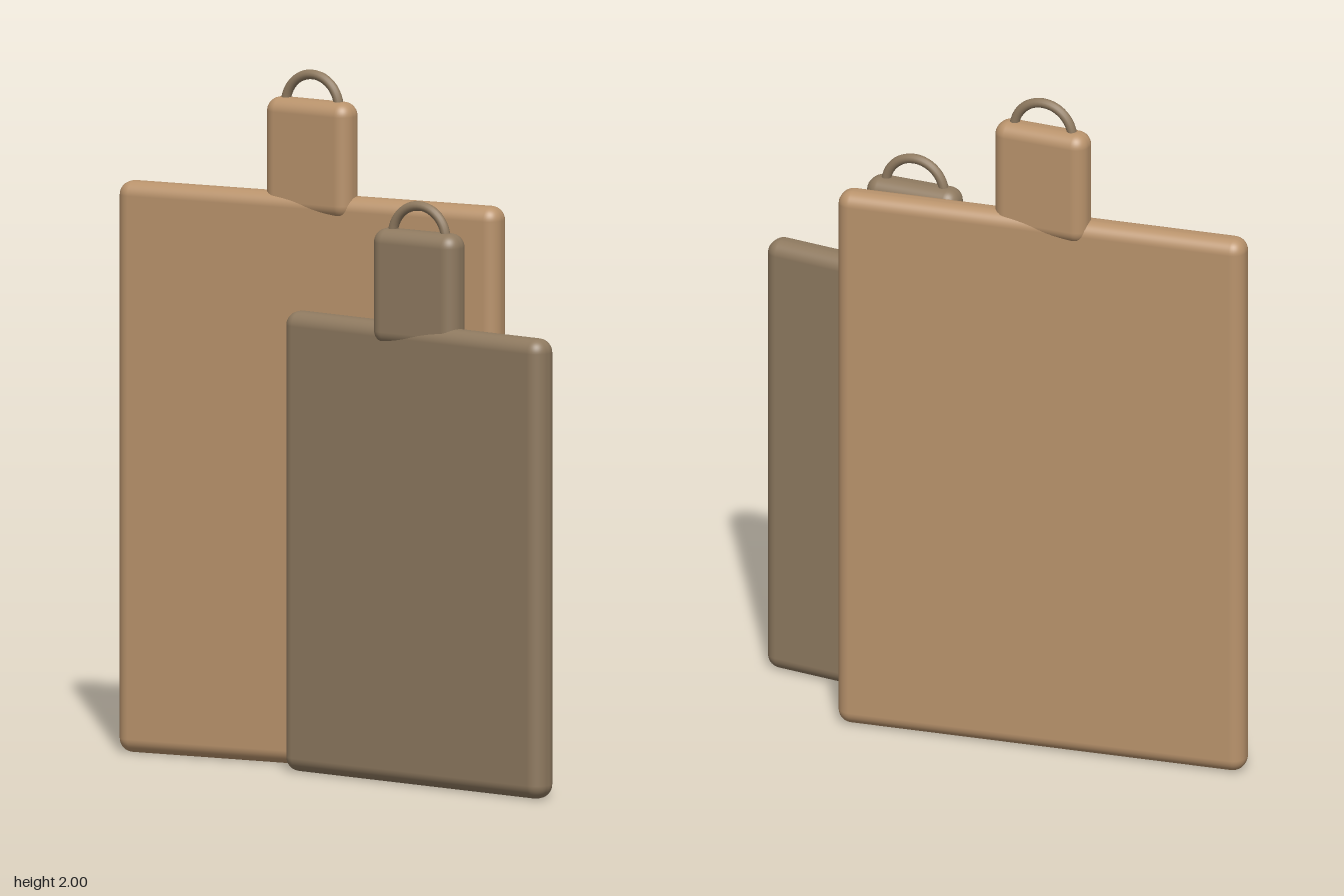
import * as THREE from 'three';
import { RoundedBoxGeometry } from 'three/addons/geometries/RoundedBoxGeometry.js';

const THICKNESS = 0.09;
const RADIUS = 0.04;

function material(name, color) {
  const m = new THREE.MeshStandardMaterial({ color });
  m.name = name;
  return m;
}

// Rounded slab given by its centre x and z, width and vertical range
function slab(name, mat, width, bottom, top) {
  const geometry = new RoundedBoxGeometry(width, top - bottom, THICKNESS, 5, RADIUS);
  const mesh = new THREE.Mesh(geometry, mat);
  mesh.name = name;
  mesh.position.y = (bottom + top) / 2;
  return mesh;
}

// One hanging board: turned panel, straight neck and a ring on top
function makeBoard({ name, x, z, width, height, turn, wood, metal }) {
  const board = new THREE.Group();
  board.name = name;
  board.position.set(x, 0, z);

  const panel = slab('panel', wood, width, 0.005, height);
  panel.rotation.y = turn;

  const neck = slab('neck', wood, 0.287, height - 0.065, height + 0.27);

  // Lower half of the ring is buried in the neck
  const ring = new THREE.Mesh(new THREE.TorusGeometry(0.091, 0.014, 12, 48), metal);
  ring.name = 'hangingRing';
  ring.position.y = height + 0.25;

  board.add(panel, neck, ring);
  return board;
}

export function createModel() {
  const model = new THREE.Group();
  model.name = 'cuttingBoards';

  const lightWood = material('light wood', 0xb9936c);
  const darkWood = material('dark wood', 0x8f7a60);

  model.add(
    makeBoard({
      name: 'largeBoard', x: -0.175, z: -0.071, width: 1.215, height: 1.645,
      turn: 0.12, wood: lightWood, metal: darkWood,
    }),
    makeBoard({
      name: 'smallBoard', x: 0.302, z: 0.093, width: 0.95, height: 1.325,
      turn: -0.1, wood: darkWood, metal: darkWood,
    }),
  );
  return model;
}
